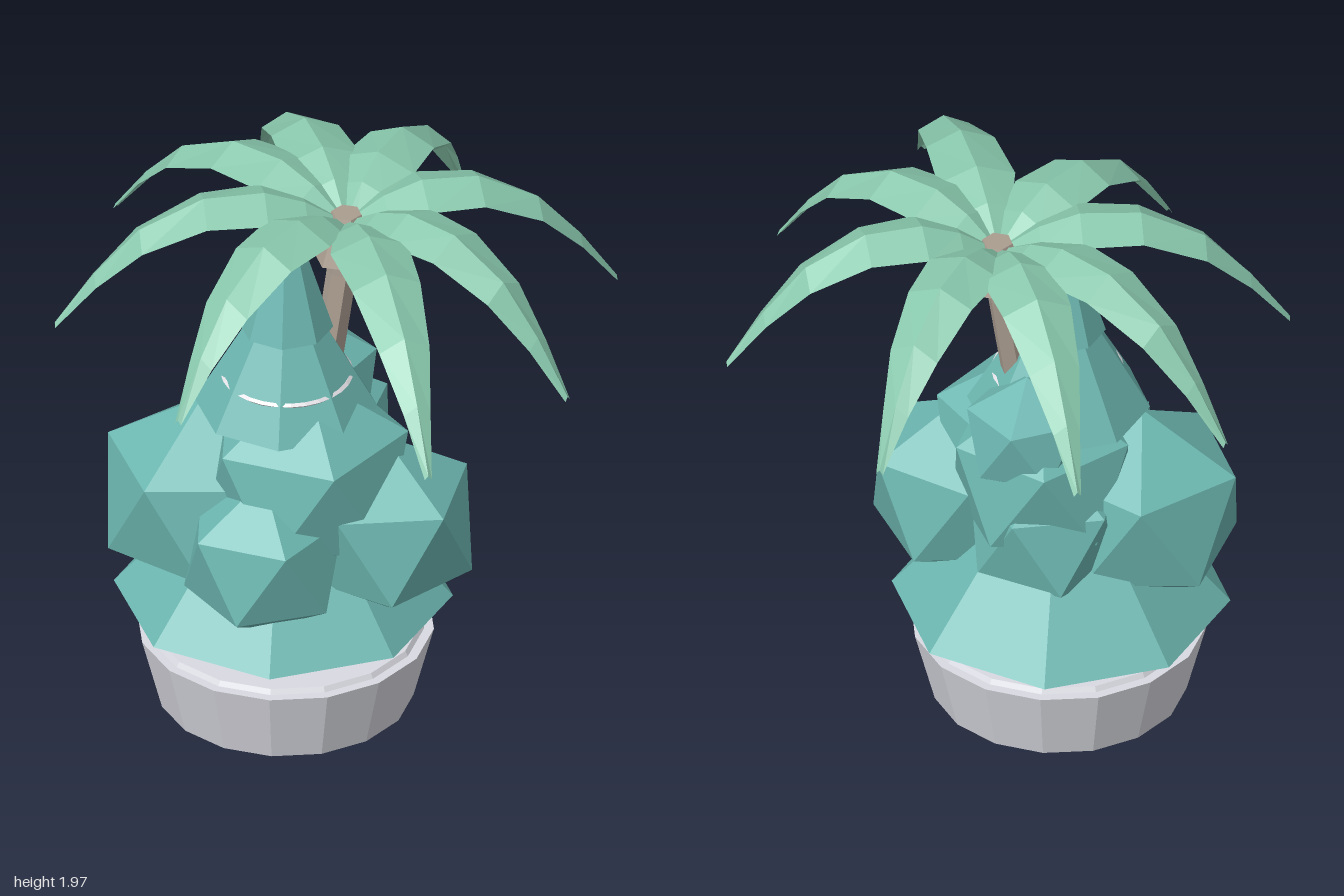
import * as THREE from 'three';

export function createModel() {
  const root = new THREE.Group();
  root.name = 'pottedTrees';

  const mat = (name, color, extra = {}) => {
    const m = new THREE.MeshStandardMaterial({ color, flatShading: true, ...extra });
    m.name = name;
    return m;
  };
  const teal = mat('tealFoliage', 0x6db7b1);
  const green = mat('palmGreen', 0x89c8ad, { side: THREE.DoubleSide });
  const brown = mat('bark', 0xaa9d90);
  const grey = mat('potGrey', 0xdadbe2);
  const pale = mat('paleTrim', 0xf0edf2);

  const add = (name, geo, material, x = 0, y = 0, z = 0) => {
    const mesh = new THREE.Mesh(geo, material);
    mesh.name = name;
    mesh.position.set(x, y, z);
    root.add(mesh);
    return mesh;
  };

  const CX = -0.187, CZ = -0.055;

  // Pot with a stepped rim and a soil-level floor
  const potProfile = [
    [0, 0.07], [0.42, 0.07], [0.487, 0.33], [0.455, 0.33], [0.445, 0.347],
    [0.41, 0.347], [0.41, 0.325], [0, 0.325],
  ].map(([r, y]) => new THREE.Vector2(r, y));
  add('pot', new THREE.LatheGeometry(potProfile, 16), grey, CX, 0, CZ);

  // Thin upright plate inside the pot
  const plate = add('innerPlate', new THREE.BoxGeometry(0.69, 0.14, 0.009), pale, CX, 0.38, 0.06);
  plate.rotation.x = -0.25;

  // Stacked conical tiers: [name, bottom radius, top radius, bottom y, top y, z]
  const tiers = [
    ['lowerTier', 0.555, 0.2, 0.44, 0.85, -0.08],
    ['middleTier', 0.3, 0.125, 1.18, 1.49, -0.05],
    ['topTier', 0.155, 0.035, 1.48, 1.86, -0.05],
  ];
  for (const [name, r0, r1, y0, y1, z] of tiers) {
    const cone = add(name, new THREE.CylinderGeometry(r1, r0, y1 - y0, 8), teal, CX, (y0 + y1) / 2, z);
    cone.rotation.y = THREE.MathUtils.degToRad(24);
  }

  // Pale band that peeks through the front faces of the middle tier
  const band = add('band', new THREE.TorusGeometry(0.208, 0.009, 4, 28), pale, CX, 1.305, -0.038);
  band.rotation.x = Math.PI / 2;

  // Upright icosahedron with a vertex at top and bottom
  const upright = new THREE.IcosahedronGeometry(1, 0);
  upright.rotateZ(Math.atan(2 / (1 + Math.sqrt(5))));
  const addClump = (name, x, y, z, r, ry, turn) => {
    const clump = add(name, upright, teal, x, y, z);
    clump.scale.set(r, ry, r);
    clump.rotation.y = turn;
  };

  // Faceted foliage clumps: [x, y, z, radius, turn]
  [
    [-0.33, 0.76, 0.18, 0.29, 0.31],
    [0.09, 0.785, 0.14, 0.33, 0.75],
    [-0.44, 0.815, -0.16, 0.36, 0.66],
    [-0.12, 0.8, -0.17, 0.29, 0.2],
    [-0.145, 0.965, 0.05, 0.37, 0.3],
    [-0.11, 0.98, -0.12, 0.33, 0.7],
    [-0.045, 1.175, -0.18, 0.22, 0.4],
  ].forEach(([x, y, z, r, turn], i) => addClump('foliageClump' + (i + 1), x, y, z, r, r, turn));

  // Inner clumps under the skirt, with roots reaching down through the pot
  [
    [-0.34, 0.01, 0.01], [-0.185, 0, -0.05], [-0.15, 0.03, -0.18], [-0.025, 0.02, 0.04],
  ].forEach(([x, low, z], i) => {
    addClump('rootClump' + (i + 1), x, 0.22 + low, z, 0.18, 0.22, i * 0.8);
    addClump('innerClump' + (i + 1), x, 0.43, z, 0.165, 0.16, i * 0.8 + 0.3);
  });

  // Palm trunk and flared crown
  const trunkPath = new THREE.CatmullRomCurve3([
    new THREE.Vector3(-0.06, 1.2, -0.055),
    new THREE.Vector3(-0.03, 1.42, -0.055),
    new THREE.Vector3(0, 1.6, -0.06),
    new THREE.Vector3(0.02, 1.8, -0.06),
  ]);
  add('palmTrunk', new THREE.TubeGeometry(trunkPath, 4, 0.05, 6), brown);
  add('palmCrown', new THREE.CylinderGeometry(0.05, 0.115, 0.16, 6), brown, 0.022, 1.79, -0.06);

  // Palm fronds: arched, folded along the midrib; [fraction, ridge y, half width, edge drop]
  const sections = [
    [0.03, 1.855, 0.025, 0.01], [0.14, 1.92, 0.08, 0.03], [0.28, 1.965, 0.13, 0.05],
    [0.49, 1.955, 0.115, 0.05], [0.71, 1.85, 0.085, 0.045], [0.865, 1.69, 0.045, 0.03],
    [1, 1.51, 0.012, 0.015],
  ];
  const frond = (length) => {
    const pos = [], idx = [];
    sections.forEach(([t, y, w, drop], i) => {
      pos.push(-w, y - drop, t * length, 0, y, t * length, w, y - drop, t * length);
      if (i === 0) return;
      const a = (i - 1) * 3, b = i * 3;
      for (let k = 0; k < 2; k++) {
        idx.push(a + k, b + k, b + k + 1, a + k, b + k + 1, a + k + 1);
      }
    });
    const g = new THREE.BufferGeometry();
    g.setAttribute('position', new THREE.Float32BufferAttribute(pos, 3));
    g.setIndex(idx);
    g.computeVertexNormals();
    return g;
  };
  const tips = [
    [0.01, -1], [-0.53, -0.86], [0.6, -0.71], [-0.92, -0.23],
    [0.92, 0.01], [-0.7, 0.45], [0.56, 0.67], [-0.01, 1],
  ];
  tips.forEach(([x, z], i) => {
    const dx = x - 0.02, dz = z + 0.06;
    const leaf = add('palmFrond' + (i + 1), frond(Math.hypot(dx, dz)), green, 0.02, 0, -0.06);
    leaf.rotation.y = Math.atan2(dx, dz);
  });

  return root;
}
